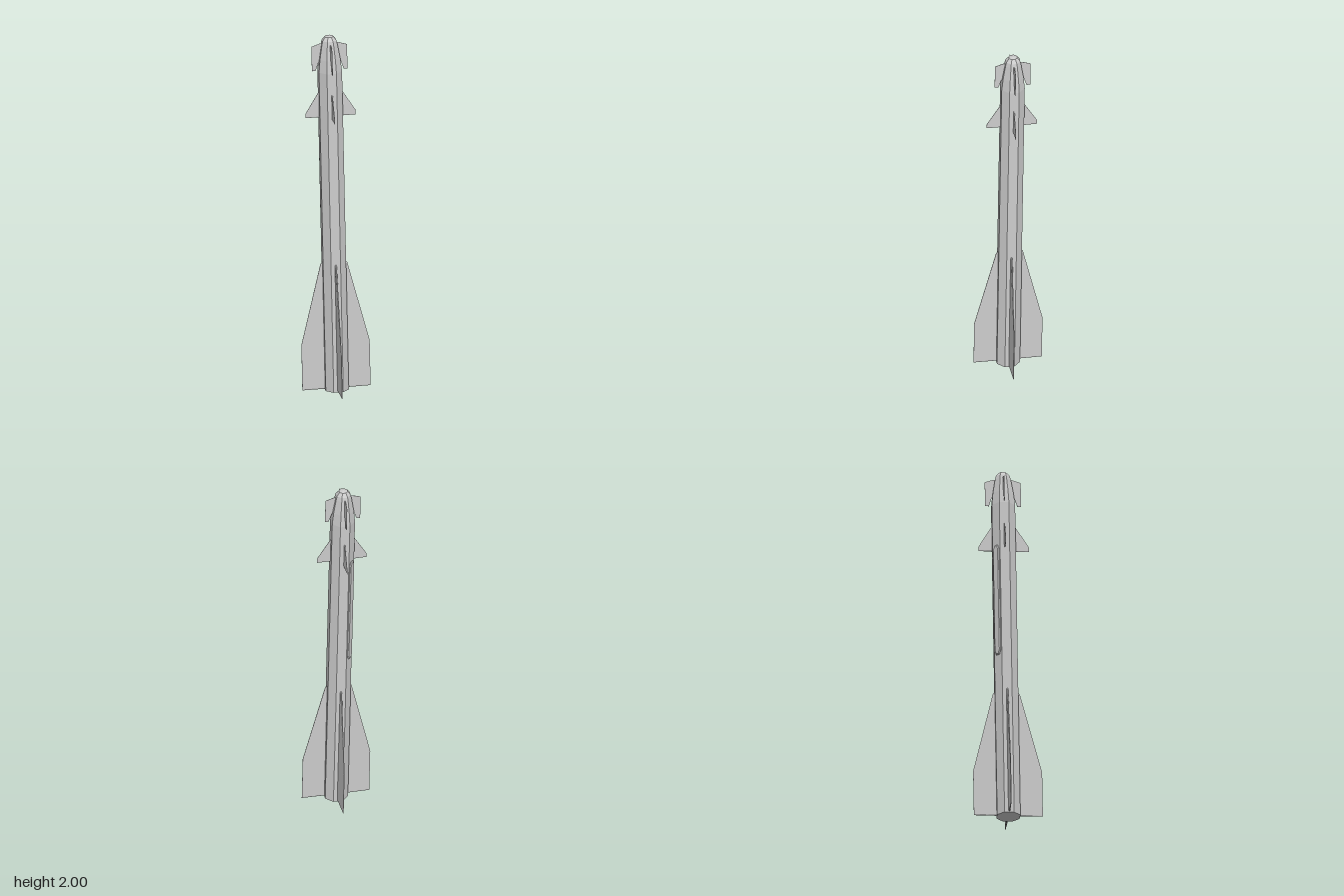
import * as THREE from 'three';

const grey = new THREE.MeshStandardMaterial({ color: 0xcccccc, flatShading: true });

const outline = (pts) => new THREE.Shape(pts.map(([x, y]) => new THREE.Vector2(x, y)));

// Thin fin with chamfered edges; outline is [radius, height], thickness shrinks toward the tip
function finGeometry(pts, rootThickness, tipThickness, chamfer) {
  const half = 0.5;
  const geo = new THREE.ExtrudeGeometry(outline(pts), {
    depth: 0.5, bevelEnabled: true, bevelThickness: 0.25,
    bevelSize: chamfer, bevelOffset: -chamfer, bevelSegments: 1,
  });
  geo.translate(0, 0, -0.25);
  const rs = pts.map((p) => p[0]);
  const r0 = Math.min(...rs), r1 = Math.max(...rs);
  const pos = geo.attributes.position;
  for (let i = 0; i < pos.count; i++) {
    const t = (pos.getX(i) - r0) / (r1 - r0);
    const thickness = THREE.MathUtils.lerp(rootThickness, tipThickness, t);
    pos.setZ(i, (pos.getZ(i) / half) * thickness / 2);
  }
  geo.computeVertexNormals();
  return geo;
}

// Four copies of a fin on the diagonals
function finSet(name, geo) {
  const set = new THREE.Group();
  set.name = name + 's';
  for (let i = 0; i < 4; i++) {
    const fin = new THREE.Mesh(geo, grey);
    fin.name = name;
    fin.rotation.y = Math.PI / 4 + i * Math.PI / 2;
    set.add(fin);
  }
  return set;
}

export function createModel() {
  const model = new THREE.Group();
  model.name = 'missile';

  // The whole airframe leans slightly backward
  const airframe = new THREE.Group();
  airframe.name = 'airframe';
  airframe.rotation.x = -0.0245;
  airframe.position.y = 0.003;
  model.add(airframe);

  // Eight-sided body and blunt nose, profile given as [flat-side radius, height]
  const profile = [
    [0, 0], [0.062, 0], [0.062, 1.8], [0.055, 1.87],
    [0.042, 1.95], [0.037, 1.972], [0.022, 1.992], [0, 1.997],
  ].map(([r, y]) => new THREE.Vector2(r / Math.cos(Math.PI / 8), y));
  const body = new THREE.Mesh(new THREE.LatheGeometry(profile, 8, Math.PI / 8), grey);
  body.name = 'body';
  airframe.add(body);

  // Fins: long tail fins, small middle fins, nose canards
  airframe.add(finSet('tailFin', finGeometry(
    [[0.04, 0.005], [0.184, 0.005], [0.184, 0.26], [0.072, 0.71], [0.062, 0.72], [0.04, 0.72]],
    0.011, 0.004, 0.006)));
  airframe.add(finSet('middleFin', finGeometry(
    [[0.045, 1.54], [0.135, 1.54], [0.135, 1.565], [0.064, 1.68], [0.045, 1.68]],
    0.007, 0.002, 0.004)));
  airframe.add(finSet('noseCanard', finGeometry(
    [[0.03, 1.85], [0.06, 1.85], [0.076, 1.802], [0.096, 1.802], [0.096, 1.94], [0.05, 1.955], [0.03, 1.955]],
    0.007, 0.002, 0.004)));

  // Cable duct along the back
  const ductShape = outline([
    [-0.01, 0.92], [0.01, 0.92], [0.02, 0.945], [0.02, 1.53],
    [0.01, 1.555], [-0.01, 1.555], [-0.02, 1.53], [-0.02, 0.945],
  ]);
  const duct = new THREE.Mesh(new THREE.ExtrudeGeometry(ductShape, {
    depth: 0.01, bevelEnabled: true, bevelThickness: 0.005,
    bevelSize: 0.005, bevelOffset: -0.005, bevelSegments: 1,
  }), grey);
  duct.name = 'cableDuct';
  duct.rotation.y = Math.PI;
  duct.position.z = -0.055;
  airframe.add(duct);

  return model;
}
